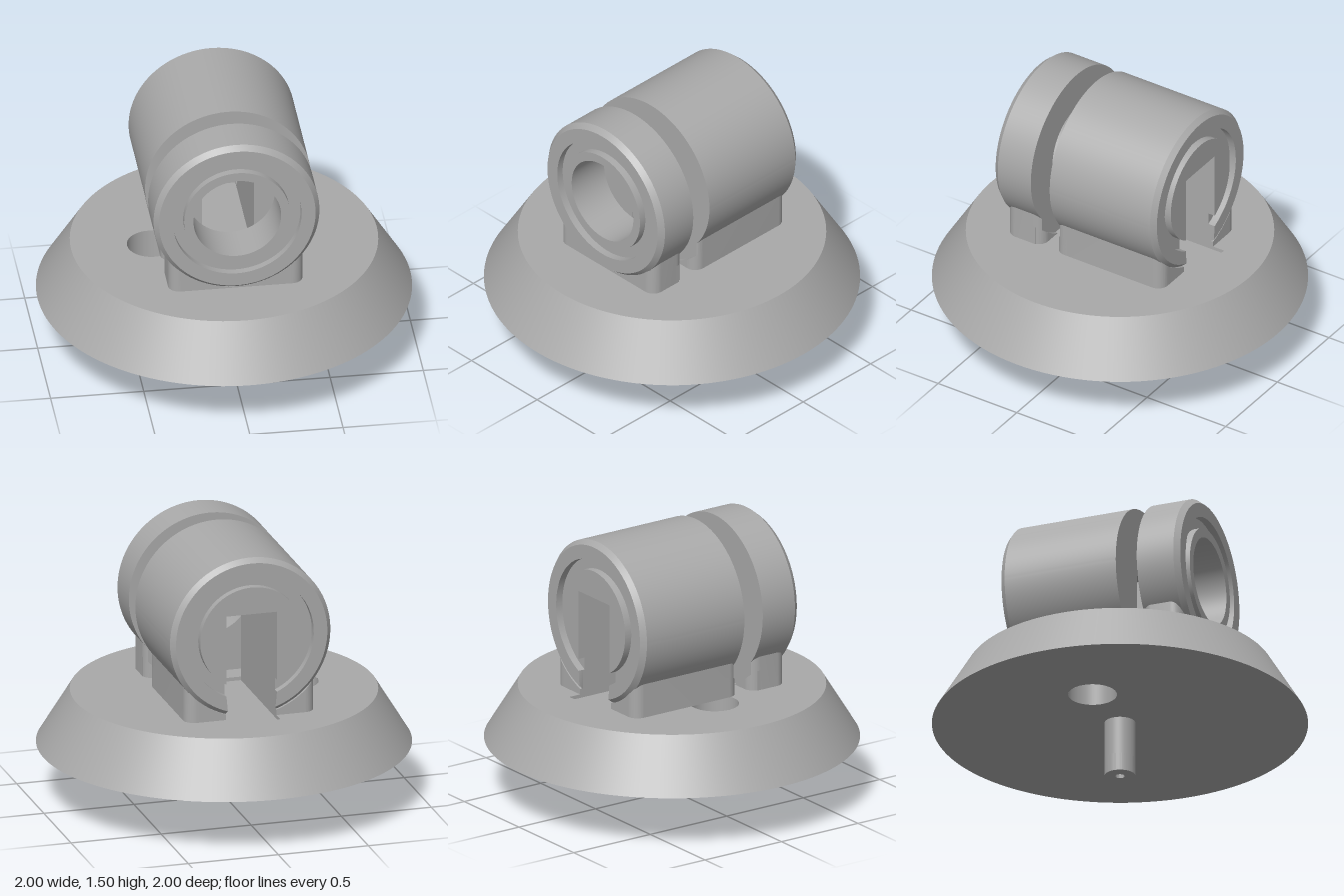
import * as THREE from 'three';
import { toCreasedNormals } from 'three/addons/utils/BufferGeometryUtils.js';

const AXIS_Y = 1.055;   // height of the horizontal barrel axis
const FLOOR = 0.605;    // top of the base
const R = 0.445;        // barrel radius
const SLOT = 0.14;      // half width of the slot

const crease = (g) => toCreasedNormals(g, 0.6);

// Barrel cross-section, open at the bottom where the slot runs through
function slottedShape(outer) {
  const a = Math.asin(SLOT / outer);
  const s = new THREE.Shape();
  s.absarc(0, 0, outer, -Math.PI / 2 + a, Math.PI * 1.5 - a, false);
  s.lineTo(-SLOT, 0.135);
  s.lineTo(SLOT, 0.135);
  s.closePath();
  return s;
}

// Outer lip around the groove, also broken by the slot
function lipShape(outer, inner) {
  const a = Math.asin(SLOT / outer), b = Math.asin(SLOT / inner);
  const s = new THREE.Shape();
  s.absarc(0, 0, outer, -Math.PI / 2 + a, Math.PI * 1.5 - a, false);
  s.absarc(0, 0, inner, Math.PI * 1.5 - b, -Math.PI / 2 + b, true);
  s.closePath();
  return s;
}

function extrude(shape, z0, z1) {
  const g = new THREE.ExtrudeGeometry(shape, { depth: z1 - z0, bevelEnabled: false, curveSegments: 96 });
  return g.translate(0, 0, z0);
}

// Half a pedestal: rounded upright corner, top cut to an arc around the barrel axis
function pedestalGeometry(x0, zBack, zFront, clipBack, clipFront, arc) {
  const g = new THREE.BoxGeometry(1, 1, 1, 32, 1, 1);
  const p = g.attributes.position, corner = 0.06, x1 = 0.36;
  for (let i = 0; i < p.count; i++) {
    const x = x0 + (x1 - x0) * Math.sin((p.getX(i) + 0.5) * Math.PI / 2);
    const d = Math.max(0, x - (x1 - corner));
    const inset = corner - Math.sqrt(Math.max(0, corner * corner - d * d));
    const top = Math.max(FLOOR, AXIS_Y - Math.sqrt(arc * arc - x * x));
    const z = p.getZ(i) > 0 ? Math.min(zFront - inset, clipFront) : Math.max(zBack + inset, clipBack);
    p.setXYZ(i, x, p.getY(i) > 0 ? top : FLOOR, z);
  }
  return crease(g);
}

export function createModel() {
  const model = new THREE.Group();
  const grey = new THREE.MeshStandardMaterial({ color: 0xa9a9a9, side: THREE.DoubleSide });
  grey.name = 'grey';
  const add = (name, geometry, parent = model) => {
    const m = new THREE.Mesh(geometry, grey);
    m.name = name;
    parent.add(m);
    return m;
  };

  // Conical base with a through hole and a shallow recess under the slot
  const base = new THREE.Group();
  base.name = 'base';
  model.add(base);
  const baseLow = 0.31, baseH = FLOOR - baseLow, holeX = -0.39, holeR = 0.13;
  add('baseSide', new THREE.CylinderGeometry(0.82, 1, baseH, 128, 1, true)
    .translate(0, baseLow + baseH / 2, 0), base);
  const disc = (radius, recessed) => {
    const s = new THREE.Shape().absarc(0, 0, radius, 0, Math.PI * 2);
    s.holes.push(new THREE.Path().absarc(holeX, 0, holeR, 0, Math.PI * 2, true));
    if (recessed) {
      s.holes.push(new THREE.Path([[-SLOT, 0.57], [SLOT, 0.57], [SLOT, -0.15], [-SLOT, -0.15]]
        .map(([x, y]) => new THREE.Vector2(x, y))));
    }
    return new THREE.ShapeGeometry(s, 64);
  };
  add('baseTop', disc(0.82, true).rotateX(-Math.PI / 2).translate(0, FLOOR, 0), base);
  add('baseBottom', disc(1, false).rotateX(Math.PI / 2).translate(0, baseLow, 0), base);
  add('baseHole', new THREE.CylinderGeometry(holeR, holeR, baseH, 48, 1, true)
    .translate(holeX, baseLow + baseH / 2, 0), base);
  const recess = new THREE.BoxGeometry(SLOT * 2, 0.02, 0.72);
  recess.setIndex([...recess.index.array].filter((_, i) => i < 12 || i >= 18)); // open top
  add('slotRecess', recess.translate(0, FLOOR - 0.01, -0.21), base);

  // Shaft below the base, flattened near its tip, with a centre hole
  const shaft = new THREE.Group();
  shaft.name = 'shaft';
  model.add(shaft);
  const sr = 0.083, flat = Math.acos(0.06 / sr);
  const tip = new THREE.Shape().absarc(0, 0, sr, flat, Math.PI * 2 - flat);
  tip.closePath();
  tip.holes.push(new THREE.Path().absarc(0, 0, 0.025, 0, Math.PI * 2, true));
  add('shaftTip', crease(extrude(tip, 0, 0.1).rotateX(-Math.PI / 2)), shaft);
  add('shaftBody', new THREE.CylinderGeometry(sr, sr, 0.21, 48).translate(0, 0.205, 0), shaft);

  // Front ring: chamfered rim, annular groove and round bore
  const ringProfile = [
    [0.235, 0.275], [R, 0.275], [R, 0.485], [0.42, 0.515], [0.345, 0.515], [0.345, 0.475],
    [0.285, 0.475], [0.285, 0.515], [0.235, 0.515], [0.235, 0.275],
  ].map(([r, z]) => new THREE.Vector2(r, z));
  add('frontRing', crease(new THREE.LatheGeometry(ringProfile, 128).rotateX(Math.PI / 2)
    .translate(0, AXIS_Y, 0)));

  // Rear barrel: slotted body, core inside the groove, and chamfered lip
  const barrel = new THREE.Group();
  barrel.name = 'rearBarrel';
  barrel.position.y = AXIS_Y;
  model.add(barrel);
  add('barrelBody', crease(extrude(slottedShape(R), -0.47, 0.155)), barrel);
  add('barrelCore', crease(extrude(slottedShape(0.285), -0.51, -0.47)), barrel);
  add('barrelLip', crease(extrude(lipShape(R, 0.345), -0.482, -0.47)), barrel);
  const rim = extrude(lipShape(R, 0.345), -0.51, -0.482);
  const p = rim.attributes.position;
  for (let i = 0; i < p.count; i++) {
    const r = Math.hypot(p.getX(i), p.getY(i));
    if (r > 0.44 && p.getZ(i) < -0.5) {
      p.setXY(i, p.getX(i) * 0.42 / r, p.getY(i) * 0.42 / r);
    }
  }
  add('barrelRim', crease(rim), barrel);

  // Pedestals, mirrored left and right, with low toes reaching into the gap
  const halves = {
    frontPedestal: pedestalGeometry(0, 0.26, 0.49, 0.275, 0.49, R - 0.003),
    frontToe: pedestalGeometry(0.206, 0.26, 0.49, 0.26, 0.3, 0.495),
    rearPedestal: pedestalGeometry(SLOT, -0.5, 0.18, -0.5, 0.155, R - 0.003),
    rearToe: pedestalGeometry(0.206, -0.5, 0.18, 0.1, 0.18, 0.495),
  };
  for (const [name, geometry] of Object.entries(halves)) {
    for (const side of [1, -1]) {
      add(name + (side > 0 ? 'Left' : 'Right'), geometry).scale.x = side;
    }
  }
  return model;
}
